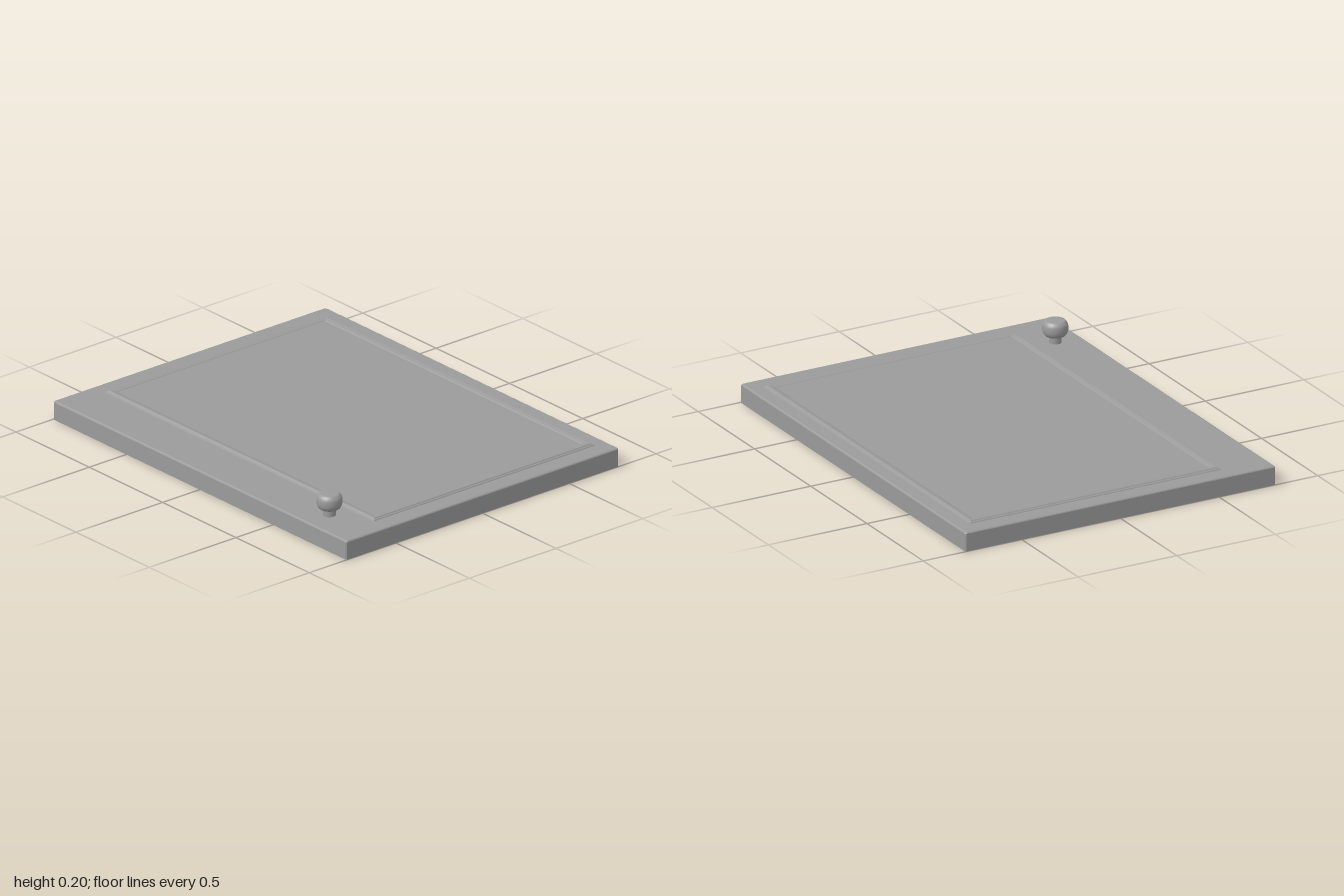
import * as THREE from 'three';

// Solid made of stacked rectangles with corners cut by c:
// profile = [inset, height] pairs, last one is capped
function rectLoft(x0, x1, z0, z1, c, profile, closeBottom) {
  const pos = [];
  const rings = profile.map(([d, y]) => {
    const [l, r, b, f] = [x0 + d, x1 - d, z0 + d, z1 - d];
    return [
      [l + c, y, f], [r - c, y, f], [r, y, f - c], [r, y, b + c],
      [r - c, y, b], [l + c, y, b], [l, y, b + c], [l, y, f - c],
    ];
  });
  const polygon = (p) => {
    for (let k = 1; k + 1 < p.length; k++) pos.push(...p[0], ...p[k], ...p[k + 1]);
  };
  for (let i = 0; i + 1 < rings.length; i++) {
    const lo = rings[i], hi = rings[i + 1];
    for (let k = 0; k < 8; k++) {
      const n = (k + 1) % 8;
      polygon([lo[k], lo[n], hi[n], hi[k]]);
    }
  }
  polygon(rings[rings.length - 1]);
  if (closeBottom) polygon([...rings[0]].reverse());
  const geo = new THREE.BufferGeometry();
  geo.setAttribute('position', new THREE.Float32BufferAttribute(pos, 3));
  geo.computeVertexNormals();
  return geo;
}

export function createModel() {
  const group = new THREE.Group();
  const material = new THREE.MeshStandardMaterial({ color: 0x9b9b9b });
  const add = (name, geo) => {
    const mesh = new THREE.Mesh(geo, material);
    mesh.name = name;
    group.add(mesh);
    return mesh;
  };

  // Door slab with softened top edges and corners
  add('doorSlab', rectLoft(-0.786, 0.786, -1, 1, 0.005,
    [[0, 0], [0, 0.083], [0.002, 0.087], [0.007, 0.09]], true));

  // Raised moulding easing down to a slightly sunken panel
  add('panelMoulding', rectLoft(-0.556, 0.72, -0.92, 0.914, 0.001,
    [[0, 0.089], [0.003, 0.094], [0.008, 0.096], [0.012, 0.101], [0.018, 0.101],
      [0.036, 0.097], [0.04, 0.094]], false));

  // Round knob: short stem, bulging head with a flat top
  const stem = add('knobStem', new THREE.CylinderGeometry(0.028, 0.028, 0.045, 32));
  stem.position.set(-0.657, 0.11, 0.732);

  const side = new THREE.SplineCurve([
    [0.032, 0.12], [0.045, 0.125], [0.055, 0.14], [0.058, 0.16],
    [0.055, 0.18], [0.044, 0.194],
  ].map(([r, y]) => new THREE.Vector2(r, y))).getPoints(20);
  const head = add('knobHead', new THREE.LatheGeometry([
    new THREE.Vector2(0, 0.119), ...side,
    new THREE.Vector2(0.038, 0.196), new THREE.Vector2(0, 0.196),
  ], 40));
  head.position.set(-0.657, 0, 0.732);

  return group;
}
